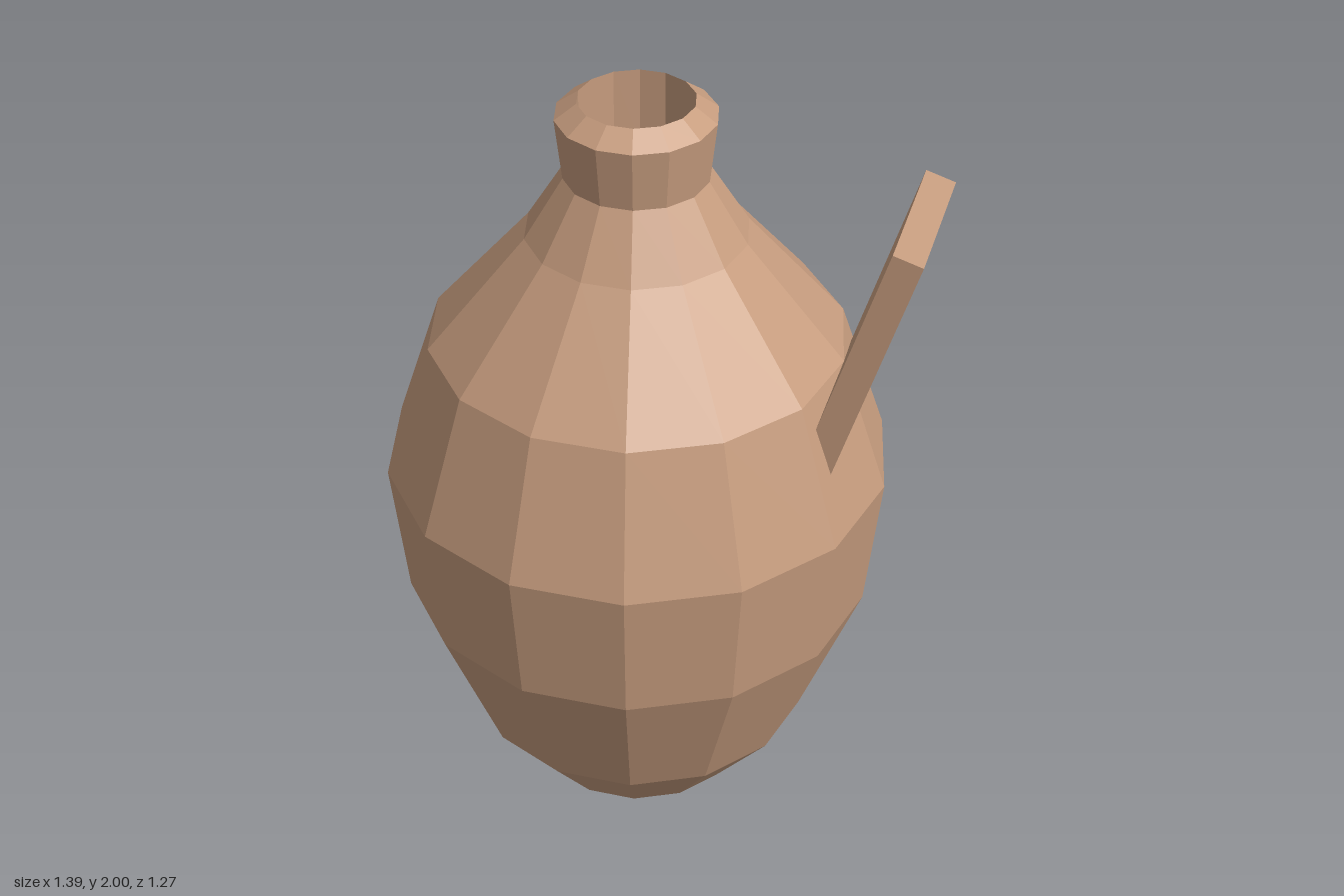
import * as THREE from 'three';

const SIDES = 14;
const AXIS_X = -0.05; // the jug sits off centre to balance the handle

// Faceted solid of revolution from [radius, height] pairs, with a corner on +x
function facetedLathe(profile) {
  const points = profile.map(([r, y]) => new THREE.Vector2(r, y));
  const geometry = new THREE.LatheGeometry(points, SIDES, Math.PI / 2).toNonIndexed();
  geometry.computeVertexNormals();
  return geometry;
}

export function createModel() {
  const jug = new THREE.Group();
  jug.name = 'jug';

  const clay = new THREE.MeshStandardMaterial({ color: 0xc69c7e });
  clay.name = 'clay';

  function addPart(name, geometry, x, y) {
    const mesh = new THREE.Mesh(geometry, clay);
    mesh.name = name;
    mesh.position.set(x, y, 0);
    jug.add(mesh);
    return mesh;
  }

  // Belly, closed at the base and at the shoulder
  addPart('body', facetedLathe([
    [0, 0], [0.285, 0], [0.45, 0.205], [0.61, 0.61], [0.65, 0.98],
    [0.53, 1.345], [0.28, 1.64], [0.182, 1.8], [0, 1.8],
  ]), AXIS_X, 0);

  // Flared neck with a bevelled rim and a hollow mouth
  addPart('neck', facetedLathe([
    [0.182, 1.8], [0.2, 1.96], [0.145, 2.0], [0.145, 1.8],
  ]), AXIS_X, 0);

  // Slanted slab handle, its lower end buried in the belly
  const tilt = THREE.MathUtils.degToRad(17.2);
  const length = 0.85;
  const handle = addPart('handle', new THREE.BoxGeometry(0.078, length, 0.405),
    0.6575 - Math.sin(tilt) * length / 2, 1.785 - Math.cos(tilt) * length / 2);
  handle.rotation.z = -tilt;

  return jug;
}
